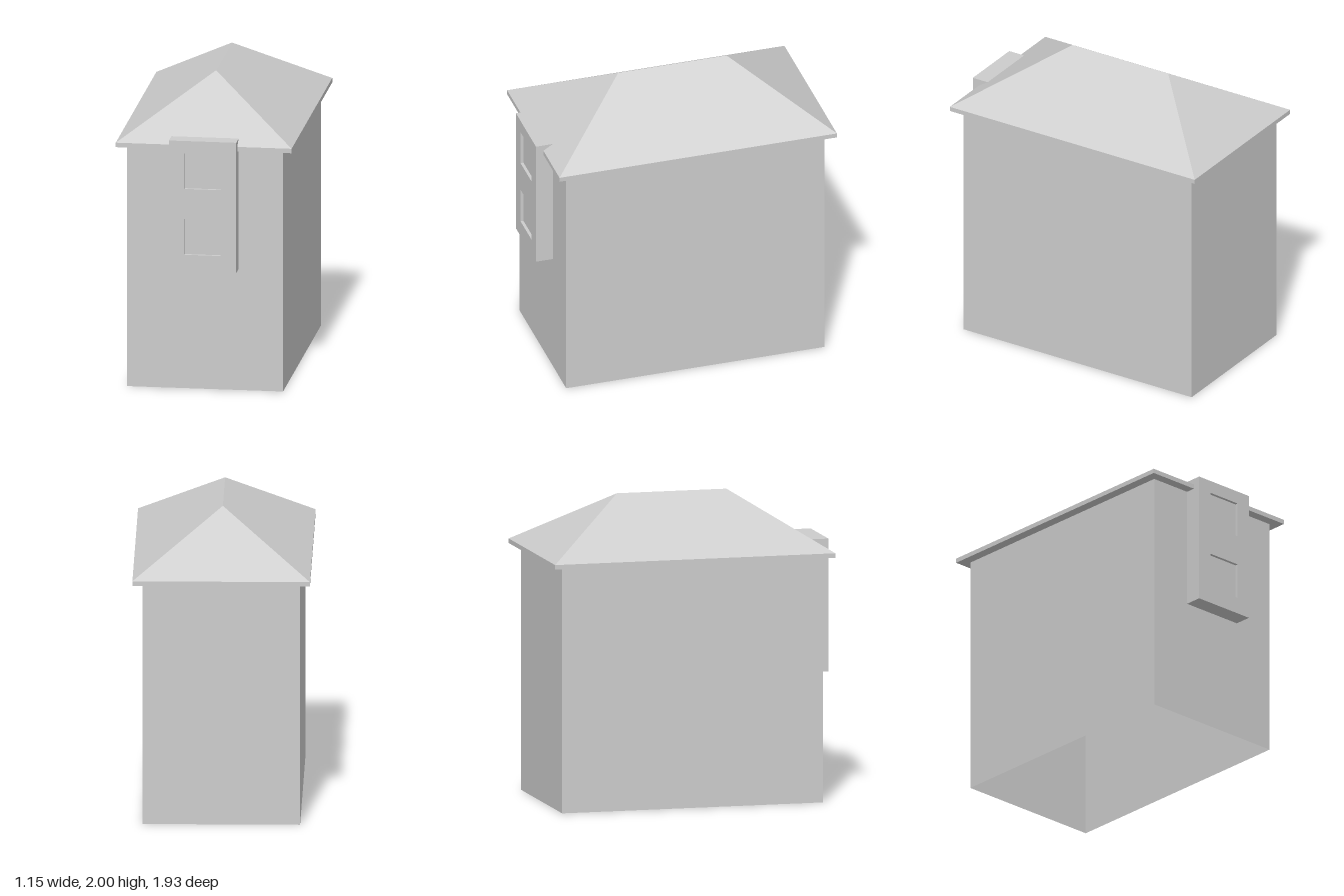
import * as THREE from 'three';

export function createModel() {
  const model = new THREE.Group();
  const plaster = new THREE.MeshStandardMaterial({ color: 0xcccccc, side: THREE.DoubleSide, flatShading: true });
  plaster.name = 'light grey';

  function add(name, geometry, parent = model) {
    const mesh = new THREE.Mesh(geometry, plaster);
    mesh.name = name;
    parent.add(mesh);
    return mesh;
  }

  // Box given by its limits on each axis
  function block(name, x0, x1, y0, y1, z0, z1, parent) {
    const mesh = add(name, new THREE.BoxGeometry(x1 - x0, y1 - y0, z1 - z0), parent);
    mesh.position.set((x0 + x1) / 2, (y0 + y1) / 2, (z0 + z1) / 2);
    return mesh;
  }

  // Four thin walls, open underneath
  const halfX = 0.51, back = -0.9, front = 0.85, wallTop = 1.61;
  const midZ = (back + front) / 2, halfZ = (front - back) / 2;
  const walls = new THREE.Group();
  walls.name = 'walls';
  model.add(walls);
  ['frontWall', 'leftWall', 'backWall', 'rightWall'].forEach((name, i) => {
    const side = i % 2 === 1;
    const geometry = new THREE.PlaneGeometry(2 * (side ? halfZ : halfX), wallTop);
    geometry.translate(0, wallTop / 2, side ? halfX : halfZ);
    geometry.rotateY(i * Math.PI / 2);
    add(name, geometry, walls).position.z = midZ;
  });

  // Eaves slab and hipped roof
  const ex = 0.575, ez0 = -0.965, ez1 = 0.915, eaveY = 1.64;
  block('eaves', -ex, ex, wallTop, eaveY, ez0, ez1);
  const roof = new THREE.BufferGeometry();
  roof.setAttribute('position', new THREE.Float32BufferAttribute([
    -ex, eaveY, ez0, ex, eaveY, ez0, ex, eaveY, ez1, -ex, eaveY, ez1,
    0, 2, -0.395, 0, 2, 0.34,
  ], 3));
  roof.setIndex([1, 4, 5, 1, 5, 2, 3, 2, 5, 3, 5, 4, 3, 4, 0, 1, 0, 4]);
  const flatRoof = roof.toNonIndexed();
  flatRoof.computeVertexNormals();
  add('hippedRoof', flatRoof);

  // Projecting bay with two recessed windows
  const rect = (path, x, y0, y1) => path.moveTo(-x, y0).lineTo(x, y0).lineTo(x, y1).lineTo(-x, y1).closePath();
  const bayFront = 0.965, recess = 0.02;
  const bay = new THREE.Group();
  bay.name = 'bay';
  model.add(bay);
  const face = rect(new THREE.Shape(), 0.22, 0.81, 1.68);
  for (const [y0, y1] of [[0.92, 1.16], [1.36, 1.595]]) {
    face.holes.push(rect(new THREE.Path(), 0.12, y0, y1));
    const pane = add('windowPane', new THREE.PlaneGeometry(0.24, y1 - y0), bay);
    pane.position.set(0, (y0 + y1) / 2, bayFront - recess);
  }
  const bayBody = add('bayBody', new THREE.ExtrudeGeometry(face, { depth: bayFront - front, bevelEnabled: false }), bay);
  bayBody.position.z = front;

  // Small box on the inside of the front wall
  block('innerBox', -0.34, -0.15, 0.34, 0.62, front - 0.06, front - 0.002);

  return model;
}
